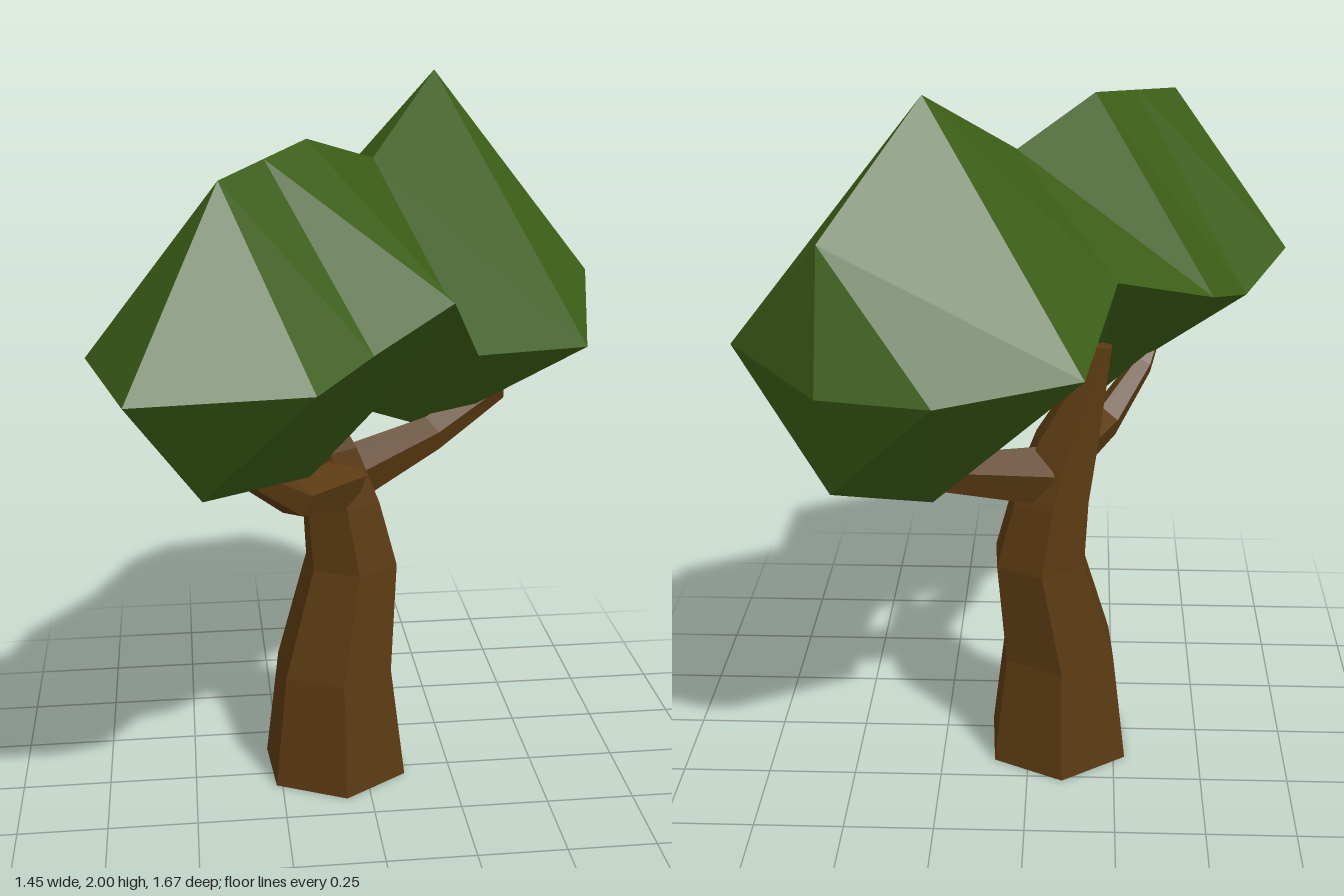
import * as THREE from 'three';

const bark = new THREE.MeshStandardMaterial({ color: 0x5a3a12, flatShading: true });
const leaf = new THREE.MeshStandardMaterial({ color: 0x3b5d16, flatShading: true });
const V = (p) => new THREE.Vector3(...p);

// Skin a list of rings and close both ends with fans to a point
function loft(name, rings, start, end, material) {
  const pos = [];
  const tri = (...pts) => pts.forEach((p) => pos.push(p.x, p.y, p.z));
  const n = rings[0].length;
  const last = rings[rings.length - 1];
  for (let i = 0; i < n; i++) {
    const j = (i + 1) % n;
    for (let k = 0; k < rings.length - 1; k++) {
      const a = rings[k], b = rings[k + 1];
      tri(a[i], a[j], b[j]);
      tri(a[i], b[j], b[i]);
    }
    tri(start, rings[0][j], rings[0][i]);
    tri(last[i], last[j], end);
  }
  const geo = new THREE.BufferGeometry();
  geo.setAttribute('position', new THREE.Float32BufferAttribute(pos, 3));
  geo.computeVertexNormals();
  const mesh = new THREE.Mesh(geo, material);
  mesh.name = name;
  return mesh;
}

// Level six-sided rings: [x, y, z, radius]
function trunk(nodes) {
  const rings = nodes.map(([x, y, z, r]) =>
    Array.from({ length: 6 }, (_, i) => {
      const t = 0.07 + (i * Math.PI) / 3;
      return new THREE.Vector3(x + r * Math.sin(t), y, z + r * Math.cos(t));
    }));
  return loft('trunk', rings, V(nodes[0].slice(0, 3)), V(nodes[nodes.length - 1].slice(0, 3)), bark);
}

// Five-sided rings square to the path: [x, y, z, radius]
function branch(name, nodes) {
  const c = nodes.map((q) => V(q.slice(0, 3)));
  const up = new THREE.Vector3(0, 1, 0);
  const rings = c.map((p, k) => {
    const t = c[Math.min(k + 1, c.length - 1)].clone().sub(c[Math.max(k - 1, 0)]).normalize();
    const s = up.clone().cross(t).normalize();
    const u = t.clone().cross(s);
    return Array.from({ length: 5 }, (_, i) => {
      const a = Math.PI / 2 + (i * Math.PI * 2) / 5;
      return p.clone()
        .addScaledVector(s, nodes[k][3] * Math.cos(a))
        .addScaledVector(u, nodes[k][3] * Math.sin(a));
    });
  });
  return loft(name, rings, c[0], c[c.length - 1], bark);
}

export function createModel() {
  const tree = new THREE.Group();
  tree.name = 'tree';

  // Leaning trunk that tapers up into the leaves
  tree.add(trunk([
    [-0.085, 0, -0.05, 0.22],
    [-0.085, 0.33, -0.055, 0.177],
    [-0.03, 0.64, -0.088, 0.14],
    [-0.06, 0.83, -0.085, 0.118],
    [-0.105, 1.0, -0.07, 0.095],
    [-0.2, 1.27, -0.08, 0.025],
  ]));

  // Side branches
  tree.add(branch('frontBranch', [
    [-0.06, 0.9, -0.04, 0.08],
    [-0.21, 0.935, 0.19, 0.052],
    [-0.32, 1.05, 0.35, 0.035],
    [-0.37, 1.14, 0.43, 0.015],
  ]));
  tree.add(branch('backBranch', [
    [-0.03, 0.9, -0.11, 0.085],
    [0.22, 0.965, -0.24, 0.055],
    [0.43, 1.06, -0.365, 0.045],
    [0.47, 1.19, -0.42, 0.012],
  ]));

  // Canopy: each section is ridge, right edge, keel, left edge
  const sections = [
    [[-0.4, 1.84, 0.51], [-0.2, 1.4, 0.79], [-0.46, 1.09, 0.6], [-0.73, 1.4, 0.4]],
    [[-0.285, 1.865, 0.355], [-0.05, 1.44, 0.61], [-0.315, 1.045, 0.4], [-0.6, 1.33, 0.18]],
    [[-0.17, 1.89, 0.2], [0.17, 1.52, 0.44], [-0.17, 1.0, 0.2], [-0.49, 1.4, -0.05]],
    [[0.03, 1.8, -0.07], [0.29, 1.3, 0.13], [0.03, 1.09, -0.07], [-0.23, 1.51, -0.27]],
    [[0.24, 2.0, -0.37], [0.64, 1.26, -0.07], [0.24, 0.94, -0.37], [-0.15, 1.4, -0.66]],
    [[0.46, 1.72, -0.65], [0.72, 1.4, -0.44], [0.46, 1.09, -0.64], [0.19, 1.4, -0.84]],
  ].map((ring) => ring.map(V));
  tree.add(loft('canopy', sections, V([-0.63, 1.4, 0.83]), V([0.46, 1.4, -0.79]), leaf));

  return tree;
}
